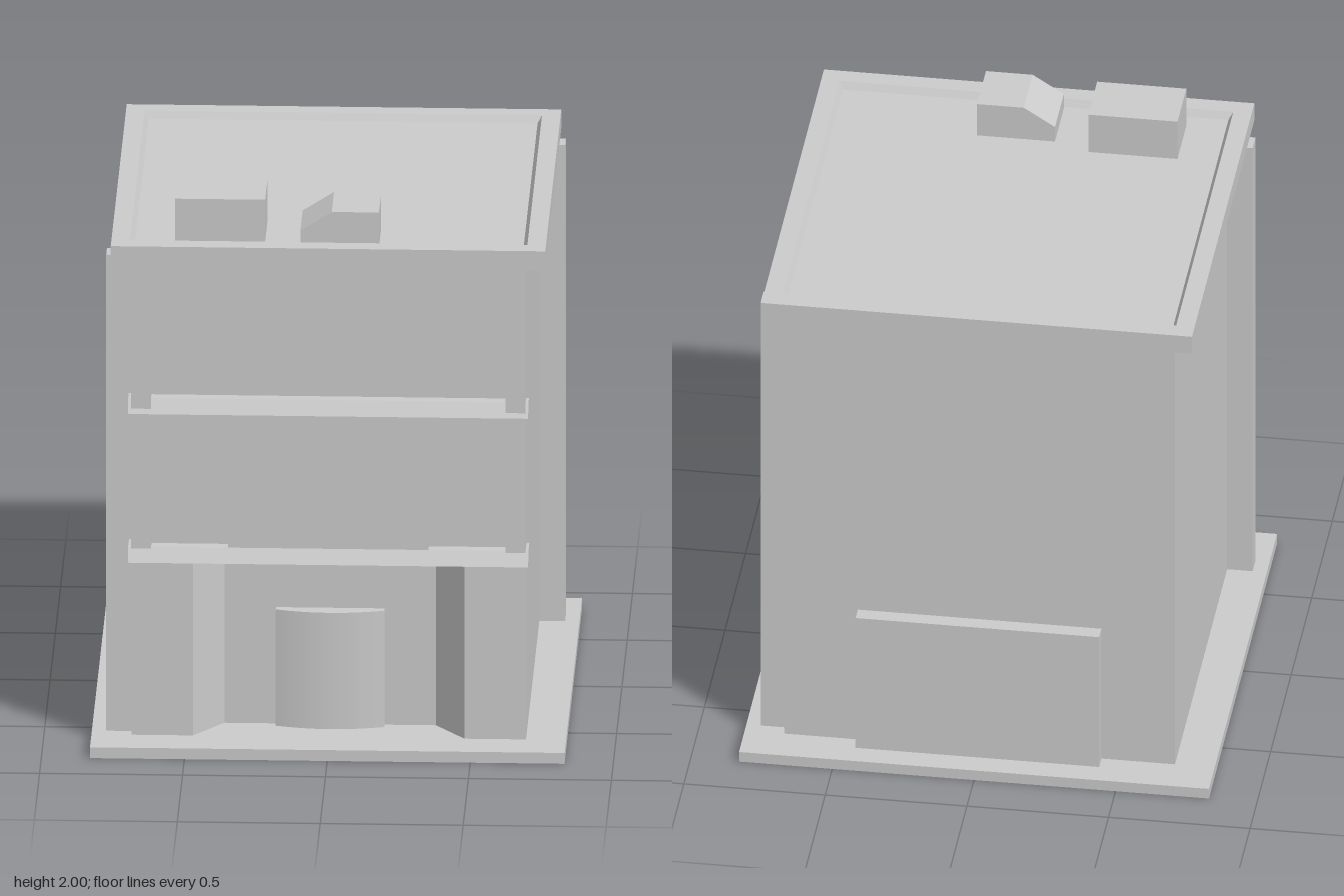
import * as THREE from 'three';

const material = new THREE.MeshStandardMaterial({ color: 0xcccccc });

function add(parent, name, geometry) {
  const mesh = new THREE.Mesh(geometry, material);
  mesh.name = name;
  parent.add(mesh);
  return mesh;
}

// Box given by its limits on each axis
function box(parent, name, [x0, x1], [y0, y1], [z0, z1]) {
  const mesh = add(parent, name, new THREE.BoxGeometry(x1 - x0, y1 - y0, z1 - z0));
  mesh.position.set((x0 + x1) / 2, (y0 + y1) / 2, (z0 + z1) / 2);
  return mesh;
}

// Plan outline given as [x, z] points; y of the shape is -z
const plan = (points) => points.map(([x, z]) => new THREE.Vector2(x, -z));
const square = (h) => plan([[-h, h], [h, h], [h, -h], [-h, -h]]);

// Extrude a plan outline upwards from y0 to y1
function slab(outline, y0, y1, hole) {
  const shape = new THREE.Shape(outline);
  if (hole) shape.holes.push(new THREE.Path(hole));
  const geometry = new THREE.ExtrudeGeometry(shape, { depth: y1 - y0, bevelEnabled: false });
  return geometry.rotateX(-Math.PI / 2).translate(0, y0, 0);
}

export function createModel() {
  const building = new THREE.Group();
  building.name = 'building';

  // Ground floor plan with splayed entrance recess
  const footprint = plan([
    [-0.69, 0.69], [-0.475, 0.69], [-0.37, 0.55], [0.37, 0.55],
    [0.475, 0.69], [0.69, 0.69], [0.69, -0.69], [-0.69, -0.69],
  ]);
  add(building, 'basePlinth', slab(square(0.83), 0, 0.04, footprint));
  add(building, 'groundFloor', slab(footprint, 0.04, 0.7));
  box(building, 'upperFloors', [-0.69, 0.69], [0.7, 1.8], [-0.69, 0.69]);

  // Shallow bowed door in the recess
  const door = new THREE.Shape();
  door.moveTo(-0.19, -0.54);
  door.lineTo(0.19, -0.54);
  door.lineTo(0.19, -0.575);
  door.quadraticCurveTo(0, -0.635, -0.19, -0.575);
  const doorGeometry = new THREE.ExtrudeGeometry(door, { depth: 0.43, bevelEnabled: false, curveSegments: 16 });
  doorGeometry.rotateX(-Math.PI / 2).translate(0, 0.04, 0);
  // Smooth normals across the bowed front
  const p = doorGeometry.attributes.position;
  const n = doorGeometry.attributes.normal;
  for (let i = 0; i < p.count; i++) {
    if (n.getZ(i) < 0.5) continue;
    const v = new THREE.Vector3(p.getX(i) * 1.67, 0, 1).normalize();
    n.setXYZ(i, v.x, v.y, v.z);
  }
  add(building, 'entranceDoor', doorGeometry);

  // Facade: corner pillars and middle bay
  for (const side of [-1, 1]) {
    const pillar = box(building, 'frontPillar', [0.62, 0.69], [0.75, 1.8], [0.68, 0.75]);
    pillar.position.x *= side;
  }
  box(building, 'middleBay', [-0.35, 0.35], [0.75, 1.25], [0.68, 0.73]);

  // Sloped ledges above the ground and second floors
  for (const [y, back] of [[0.7, 0.64], [1.25, 0.68]]) {
    const section = new THREE.Shape([
      new THREE.Vector2(-0.76, 0), new THREE.Vector2(-back, 0),
      new THREE.Vector2(-back, 0.05), new THREE.Vector2(-0.73, 0.05),
    ]);
    const geometry = new THREE.ExtrudeGeometry(section, { depth: 1.4, bevelEnabled: false });
    geometry.rotateY(Math.PI / 2).translate(-0.7, y, 0);
    add(building, 'ledge', geometry);
  }

  // Side ducts and back panel
  box(building, 'rightDuct', [0.68, 0.78], [0.04, 1.8], [-0.65, -0.58]);
  box(building, 'leftDuct', [-0.78, -0.68], [0.04, 1.8], [0.58, 0.65]);
  box(building, 'backPanel', [-0.43, 0.43], [0.04, 0.58], [-0.745, -0.68]);

  // Roof slab with a shallow sunken deck and sloping inner edge
  const roof = new THREE.Group();
  roof.name = 'roof';
  building.add(roof);
  add(roof, 'roofRim', slab(square(0.76), 1.8, 1.87, square(0.695)));
  box(roof, 'roofDeck', [-0.695, 0.695], [1.8, 1.845], [-0.695, 0.695]);
  const edge = new THREE.CylinderGeometry(0.695 * Math.SQRT2, 0.68 * Math.SQRT2, 0.025, 4, 1, true);
  edge.rotateY(Math.PI / 4);
  // Turn the tapered ring to face inwards
  const index = edge.index.array;
  for (let i = 0; i < index.length; i += 3) [index[i], index[i + 1]] = [index[i + 1], index[i]];
  const inner = edge.toNonIndexed();
  inner.computeVertexNormals();
  add(roof, 'roofInnerEdge', inner).position.y = 1.8575;

  // Rooftop units
  box(roof, 'roofBox', [-0.54, -0.225], [1.84, 2], [0.405, 0.62]);
  const hood = new THREE.Shape([
    new THREE.Vector2(-0.1, 1.84), new THREE.Vector2(0.175, 1.84), new THREE.Vector2(0.175, 1.975),
    new THREE.Vector2(0.01, 1.975), new THREE.Vector2(-0.1, 1.905),
  ]);
  add(roof, 'roofHood', new THREE.ExtrudeGeometry(hood, { depth: 0.215, bevelEnabled: false }).translate(0, 0, 0.455));

  return building;
}
